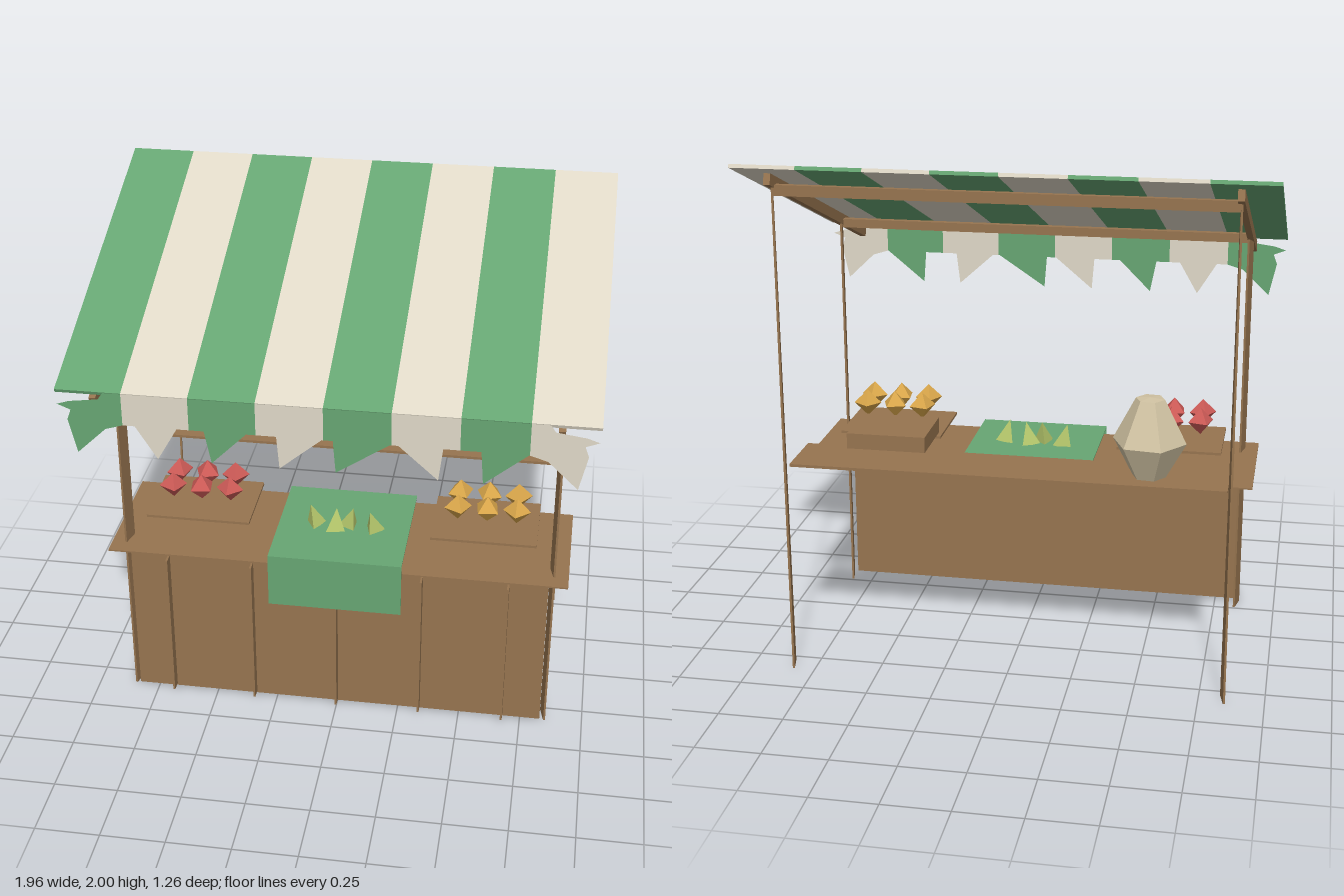
import * as THREE from 'three';

const material = (color) =>
  new THREE.MeshStandardMaterial({ color, flatShading: true, side: THREE.DoubleSide });
const wood = material(0x96744f);
const green = material(0x67a673);
const cream = material(0xe0d9c8);
const sackCloth = material(0xd0c2a2);
const red = material(0xcc5a56);
const yellow = material(0xd9a64a);
const lime = material(0xb3c56a);

export function createModel() {
  const model = new THREE.Group();

  const add = (name, geometry, mat, x = 0, y = 0, z = 0) => {
    const mesh = new THREE.Mesh(geometry, mat);
    mesh.name = name;
    mesh.position.set(x, y, z);
    model.add(mesh);
    return mesh;
  };
  // Box given by its extents on each axis
  const box = (name, mat, [x0, x1], [y0, y1], [z0, z1]) =>
    add(name, new THREE.BoxGeometry(x1 - x0, y1 - y0, z1 - z0), mat,
      (x0 + x1) / 2, (y0 + y1) / 2, (z0 + z1) / 2);

  // Thin, slightly turned posts; taper narrows the top
  const post = (name, x, z, height, taper, turn) => {
    const geometry = new THREE.BoxGeometry(0.008, height, 0.07);
    const p = geometry.attributes.position;
    for (let i = 0; i < p.count; i++) {
      if (p.getY(i) > 0) p.setZ(i, p.getZ(i) * taper);
    }
    add(name, geometry, wood, x, height / 2, z).rotation.y = turn;
  };
  for (const side of [-1, 1]) {
    post('frontPost', side * 0.842, 0.295, 1.62, 0.95, side * 0.22);
    post('backPost', side * 0.842, -0.565, 1.91, 0.15, 0.22);
  }

  // Counter front with upright battens
  box('counterPanel', wood, [-0.83, 0.83], [0.01, 0.655], [0.328, 0.336]);
  for (let i = -2; i <= 2; i++) {
    const x = i * 0.338;
    box('batten', wood, [x - 0.004, x + 0.004], [0.02, 0.655], [0.336, 0.38]);
  }

  // Counter top, cloth, trays and back shelf
  box('counterTop', wood, [-0.905, 0.905], [0.691, 0.697], [-0.14, 0.393]);
  box('clothTop', green, [-0.263, 0.263], [0.726, 0.731], [-0.14, 0.395]);
  box('clothDrop', green, [-0.263, 0.263], [0.507, 0.731], [0.392, 0.397]);
  for (const side of [-1, 1]) {
    const x = side * 0.566;
    box('tray', wood, [x - 0.207, x + 0.207], [0.789, 0.799], [-0.04, 0.275]);
  }
  box('backShelf', wood, [-0.83, 0.83], [0.826, 0.837], [-0.55, -0.31]);
  box('crate', wood, [0.3, 0.6], [0.915, 0.975], [-0.55, -0.31]);

  // Sack on the shelf
  const profile = [[0, 0.81], [0.055, 0.82], [0.14, 0.975], [0.055, 1.14], [0, 1.145]]
    .map(([r, y]) => new THREE.Vector2(r, y));
  add('sack', new THREE.LatheGeometry(profile, 6, 0.4), sackCloth, -0.53, 0, -0.435);

  // Two rows of three round fruits per tray
  for (const [name, mat, x0] of [['redFruit', red, -0.567], ['yellowFruit', yellow, 0.572]]) {
    for (let i = 0; i < 6; i++) {
      const column = i % 3, row = Math.floor(i / 3);
      const fruit = add(name, new THREE.OctahedronGeometry(0.055), mat,
        x0 + (column - 1) * 0.115, 0.892, 0.18 - row * 0.115);
      fruit.rotation.y = 0.3 + i * 0.6;
    }
  }
  // Leaning pears on the cloth
  [-0.125, -0.03, 0.03, 0.115].forEach((x, i) => {
    const pear = add('pear', new THREE.ConeGeometry(0.045, 0.095, 3), lime,
      x, 0.773, i % 2 ? 0.155 : 0.135);
    pear.rotation.set(0, i * 1.3, i % 2 ? -0.2 : 0.2);
  });

  // Roof frame
  const slope = Math.atan(0.372);
  for (const side of [-1, 1]) {
    const rafter = add('rafter', new THREE.BoxGeometry(0.025, 0.042, 1.32), wood,
      side * 0.842, 1.714, 0);
    rafter.rotation.x = slope;
  }
  box('frontBeam', wood, [-0.842, 0.842], [1.575, 1.61], [0.28, 0.31]);
  box('backBeam', wood, [-0.842, 0.842], [1.875, 1.915], [-0.575, -0.55]);

  // Striped awning
  const stripe = 0.245;
  for (let i = 0; i < 8; i++) {
    const awning = add('awningStripe', new THREE.BoxGeometry(stripe, 0.014, 1.335),
      i % 2 ? cream : green, (i - 3.5) * stripe, 1.756, 0);
    awning.rotation.x = slope;
  }

  // Hanging edge: a band with one pennant per stripe, frayed at both ends
  const pennant = (points, mat) =>
    add('pennant', new THREE.ShapeGeometry(
      new THREE.Shape(points.map(([x, y]) => new THREE.Vector2(x, y)))), mat, 0, 0, 0.627);
  const teeth = [ // base start, tip, base end
    [-0.69, -0.61, -0.535], [-0.435, -0.41, -0.28], [-0.17, -0.16, -0.005],
    [0.035, 0.045, 0.24], [0.27, 0.415, 0.43], [0.565, 0.575, 0.732],
  ];
  teeth.forEach(([a, tip, b], i) => {
    const x0 = (i - 3) * stripe, x1 = x0 + stripe;
    pennant([[x0, 1.53], [x0, 1.4], [a, 1.4], [tip, 1.27], [b, 1.4], [x1, 1.4], [x1, 1.53]],
      i % 2 ? green : cream);
  });
  const end = [[0.735, 1.53], [0.735, 1.4], [0.8, 1.38], [0.91, 1.275], [0.94, 1.41],
    [0.925, 1.45], [0.975, 1.47], [0.93, 1.485], [0.82, 1.5], [0.8, 1.53]];
  pennant(end, cream);
  pennant(end.map(([x, y]) => [-x, y]), green);

  return model;
}
